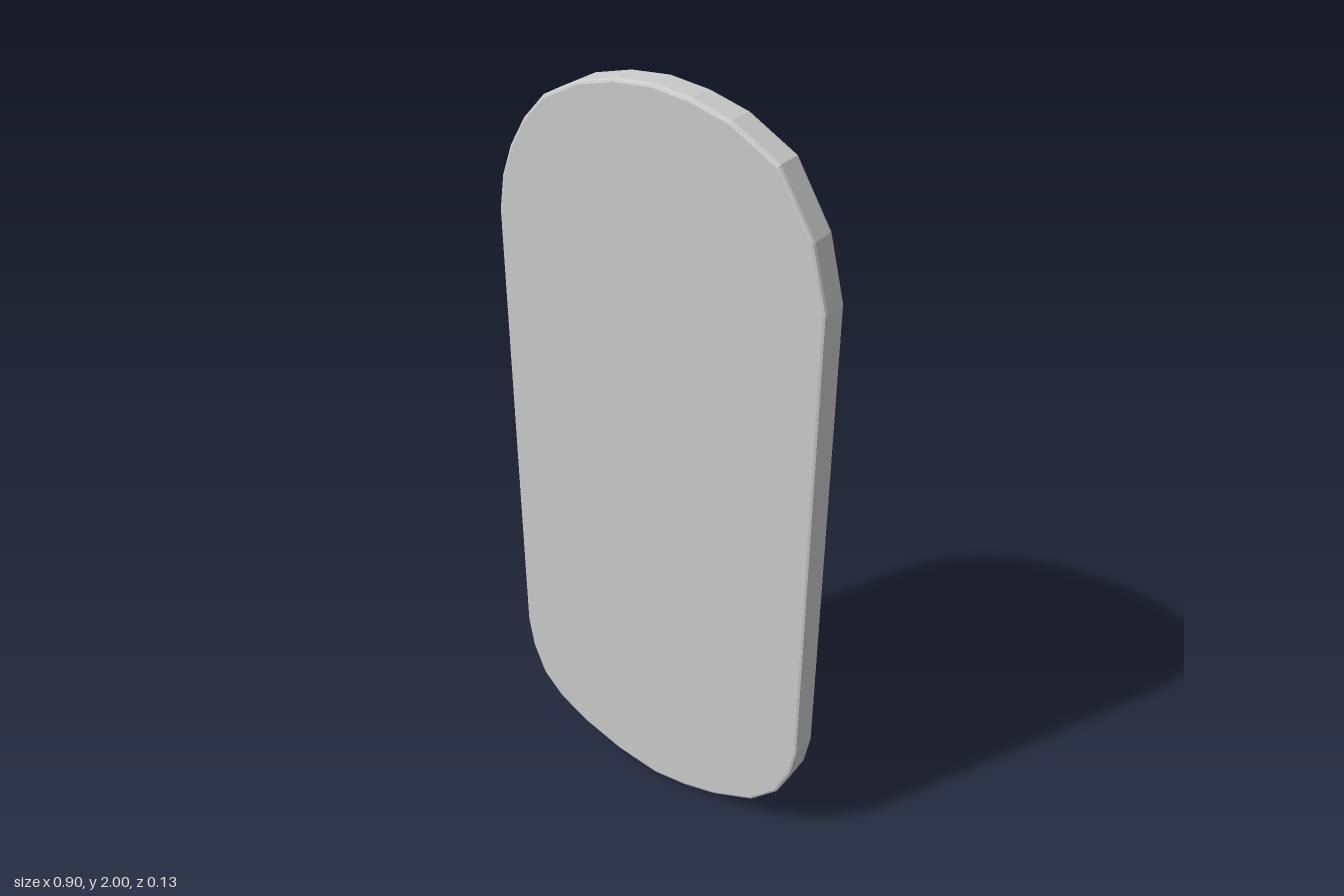
import * as THREE from 'three';
import { ConvexGeometry } from 'three/addons/geometries/ConvexGeometry.js';

// Outline of the rounded plate, counter-clockwise from the bottom
const OUTLINE = [
  [0, 0], [0.1, 0.013], [0.2, 0.04], [0.32, 0.095], [0.395, 0.17], [0.435, 0.26], [0.45, 0.34],
  [0.45, 1.6], [0.41, 1.755], [0.32, 1.9], [0.2, 1.965], [0.1, 1.99], [0, 2],
  [-0.1, 1.99], [-0.2, 1.963], [-0.3, 1.91], [-0.36, 1.845], [-0.405, 1.77], [-0.435, 1.69], [-0.45, 1.6],
  [-0.45, 0.34], [-0.435, 0.25], [-0.4, 0.165], [-0.34, 0.105], [-0.25, 0.057], [-0.13, 0.018],
];
const BEVEL = 0.008;
const BACK_Z = -0.01;
const FRONT_Z = 0.065;

export function createModel() {
  const group = new THREE.Group();
  const material = new THREE.MeshStandardMaterial({ color: 0xcccccc, flatShading: true });

  // Flat plate with a small bevelled rim
  const shape = new THREE.Shape(OUTLINE.map(([x, y]) => new THREE.Vector2(x, y)));
  const plateGeometry = new THREE.ExtrudeGeometry(shape, {
    depth: FRONT_Z - BACK_Z - 2 * BEVEL,
    bevelThickness: BEVEL,
    bevelSize: BEVEL,
    bevelOffset: -BEVEL,
    bevelSegments: 2,
  });
  plateGeometry.translate(0, 0, BACK_Z + BEVEL);
  const plate = new THREE.Mesh(plateGeometry, material);
  plate.name = 'plate';
  group.add(plate);

  // Shallow faceted back rising to a short ridge
  const rim = OUTLINE.map(([x, y]) => new THREE.Vector3(x * 0.982, 1 + (y - 1) * 0.992, BACK_Z));
  const ridge = [-1, 1].flatMap((side) => [
    new THREE.Vector3(side * 0.018, 0.94, -0.065),
    new THREE.Vector3(side * 0.03, 0.43, -0.054),
  ]);
  const back = new THREE.Mesh(new ConvexGeometry([...rim, ...ridge]), material);
  back.name = 'raisedBack';
  group.add(back);

  return group;
}
